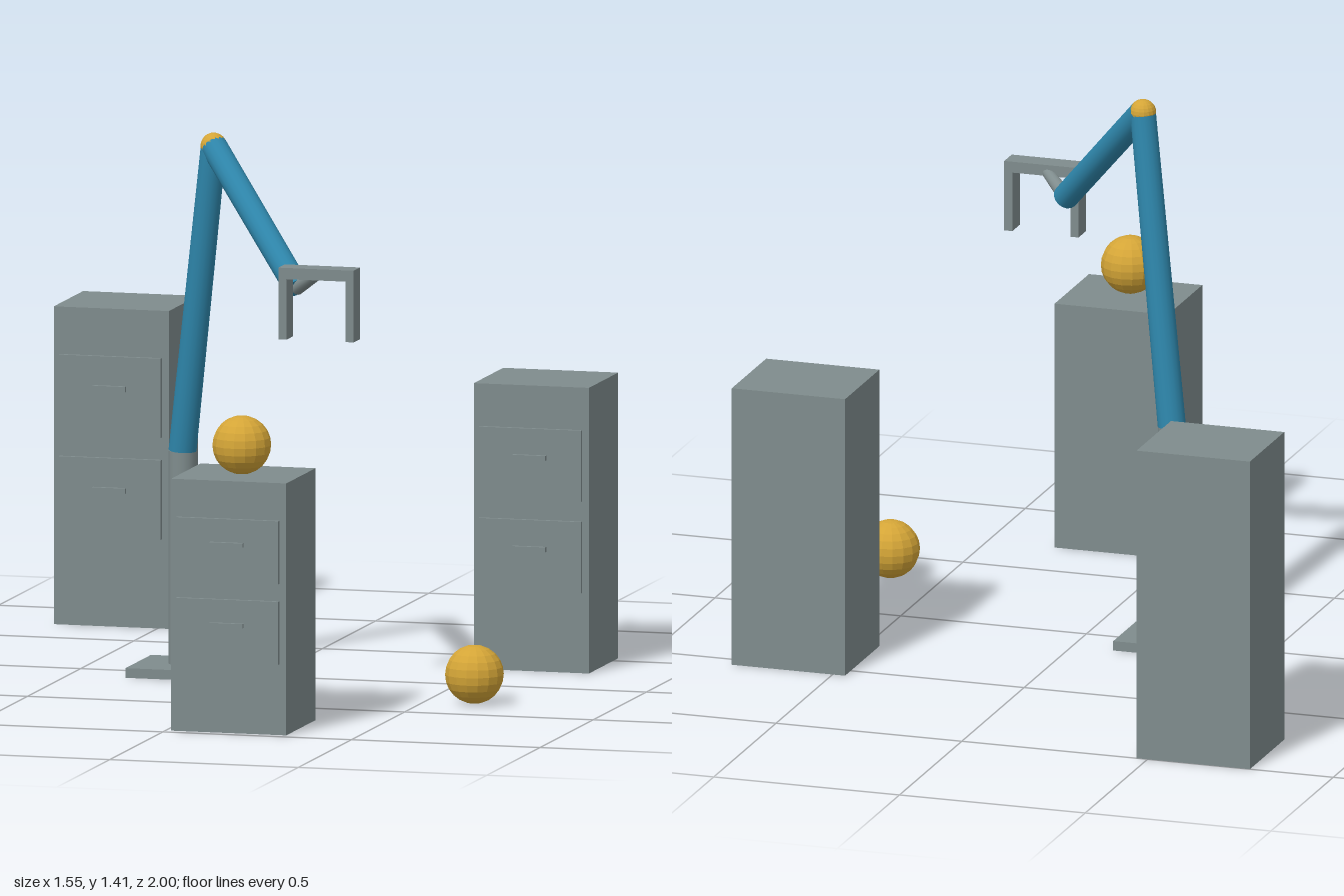
import * as THREE from 'three';

export function createModel() {
  const model = new THREE.Group();
  model.name = 'armAndCabinets';

  const material = (name, color, flatShading = false) => {
    const m = new THREE.MeshStandardMaterial({ color, flatShading });
    m.name = name;
    return m;
  };
  const grey = material('grey', 0x7f8c8d);
  const blue = material('blue', 0x2e86ab);
  const gold = material('gold', 0xd4a537, true);

  const add = (parent, name, geometry, mat, x, y, z) => {
    const mesh = new THREE.Mesh(geometry, mat);
    mesh.name = name;
    mesh.position.set(x, y, z);
    parent.add(mesh);
    return mesh;
  };
  const box = (parent, name, w, h, d, x, y, z) =>
    add(parent, name, new THREE.BoxGeometry(w, h, d), grey, x, y, z);
  const ball = (parent, name, r, x, y, z) =>
    add(parent, name, new THREE.SphereGeometry(r, 16, 12), gold, x, y, z);

  // Round bar running from point a to point b
  const rod = (parent, name, a, b, rA, rB, mat) => {
    const dir = b.clone().sub(a);
    const mid = a.clone().add(b).multiplyScalar(0.5);
    const geometry = new THREE.CylinderGeometry(rB, rA, dir.length(), 16);
    const mesh = add(parent, name, geometry, mat, mid.x, mid.y, mid.z);
    mesh.quaternion.setFromUnitVectors(new THREE.Vector3(0, 1, 0), dir.normalize());
  };

  // Cabinets, each with two drawers facing the front
  const depth = 0.276;
  const cabinet = (name, x, height, front) => {
    const group = new THREE.Group();
    group.name = name;
    group.position.set(x, 0, front);
    box(group, 'cabinetBody', 0.305, height, depth, 0, height / 2, -depth / 2);
    for (const [label, level] of [['lower', 0.407], ['upper', 0.727]]) {
      const y = level * height;
      box(group, label + 'DrawerFront', 0.271, 0.25 * height, 0.011, 0, y, 0.0105);
      box(group, label + 'DrawerHandle', 0.088, 0.017 * height, 0.011, 0, y + 0.025 * height, 0.0215);
    }
    model.add(group);
  };
  cabinet('leftRearCabinet', -0.623, 0.82, -0.724);
  cabinet('rightRearCabinet', 0.619, 0.737, -0.27);
  cabinet('frontCabinet', 0.167, 0.65, 0.973);

  // Loose balls: one on the front cabinet, one on the floor
  ball(model, 'cabinetBall', 0.0755, 0.167, 0.726, 0.85);
  ball(model, 'floorBall', 0.0755, 0.633, 0.0765, 0.315);

  // Jointed arm on a square base
  const arm = new THREE.Group();
  arm.name = 'roboticArm';
  model.add(arm);
  const foot = new THREE.Vector3(-0.229, 0.02, 0.003);
  const shoulder = new THREE.Vector3(-0.229, 0.575, 0.003);
  const elbow = new THREE.Vector3(-0.122, 1.377, 0.09);
  const wrist = new THREE.Vector3(0.165, 1.056, 0.325);
  const palm = new THREE.Vector3(0.237, 1.103, 0.385);
  box(arm, 'basePlate', 0.235, 0.025, 0.24, -0.229, 0.0125, 0.003);
  rod(arm, 'post', foot, shoulder, 0.036, 0.036, grey);
  rod(arm, 'lowerArm', shoulder, elbow, 0.036, 0.033, blue);
  rod(arm, 'upperArm', elbow, wrist, 0.034, 0.033, blue);
  ball(arm, 'elbowJoint', 0.034, elbow.x, elbow.y, elbow.z);
  rod(arm, 'wristRod', wrist, palm, 0.019, 0.015, grey);

  // Gripper with two downward fingers
  const gripper = new THREE.Group();
  gripper.name = 'gripper';
  gripper.position.set(0.245, 1.1075, 0.399);
  arm.add(gripper);
  box(gripper, 'gripperBar', 0.2, 0.029, 0.06, 0, 0, 0);
  for (const side of [-1, 1]) {
    box(gripper, side < 0 ? 'rightFinger' : 'leftFinger', 0.022, 0.156, 0.06, side * 0.089, -0.0925, 0);
  }

  return model;
}
